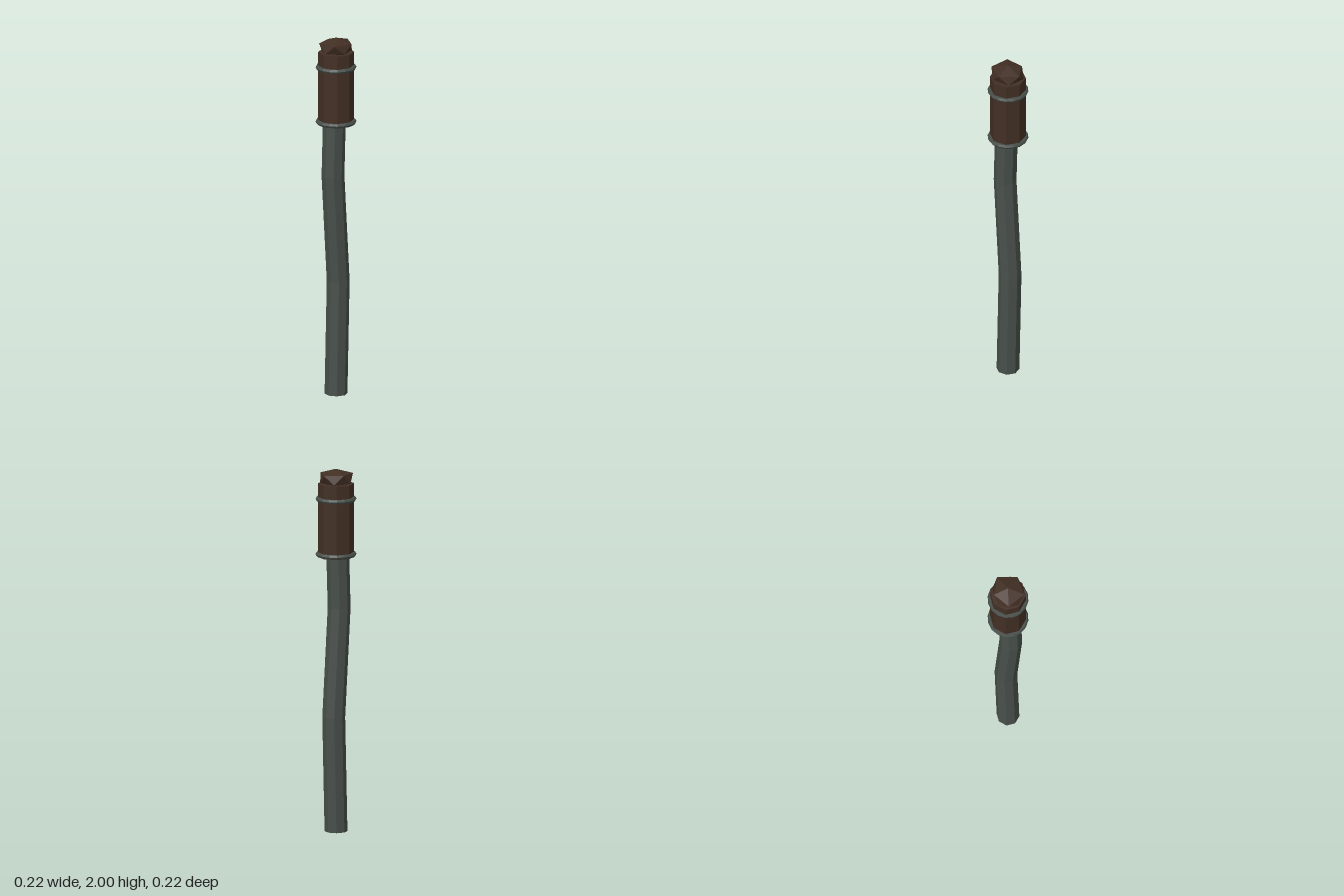
import * as THREE from 'three';

const flat = (name, color) => {
  const m = new THREE.MeshStandardMaterial({ color, flatShading: true });
  m.name = name;
  return m;
};

// Eight-sided shaft whose rows follow a crooked centre line
function shaftGeometry() {
  const path = [[-0.013, 1.56], [-0.025, 1.23], [0.018, 0.63], [0, 0]]; // top to bottom: x, y
  const g = new THREE.CylinderGeometry(0.062, 0.062, 3, 8, 3);
  const p = g.attributes.position;
  for (let i = 0; i < p.count; i++) {
    const [x, y] = path[Math.round(1.5 - p.getY(i))];
    p.setX(i, p.getX(i) + x);
    p.setY(i, y);
  }
  return g;
}

// Squat, slightly uneven twenty-faced lump
function knobGeometry() {
  const ring = (radii, y, turn) => radii.map((r, i) => {
    const a = (i + turn) * Math.PI * 2 / 5;
    return [r * Math.cos(a), y, r * Math.sin(a)];
  });
  const top = [0, 2, 0], bottom = [0, 1.9, 0];
  const upper = ring([0.096, 0.091, 0.093, 0.094, 0.081], 1.973, 0);
  const lower = ring([0.088, 0.088, 0.09, 0.086, 0.088], 1.925, 0.5);
  const corners = [];
  for (let i = 0; i < 5; i++) {
    const j = (i + 1) % 5;
    corners.push(top, upper[j], upper[i]);
    corners.push(upper[i], upper[j], lower[i]);
    corners.push(lower[i], upper[j], lower[j]);
    corners.push(bottom, lower[i], lower[j]);
  }
  const g = new THREE.BufferGeometry();
  g.setAttribute('position', new THREE.Float32BufferAttribute(corners.flat(), 3));
  g.computeVertexNormals();
  return g;
}

export function createModel() {
  const group = new THREE.Group();
  const iron = flat('dark iron', 0x484f4a);
  const wood = flat('dark wood', 0x422f24);
  const add = (name, geometry, material, y = 0) => {
    const mesh = new THREE.Mesh(geometry, material);
    mesh.name = name;
    mesh.position.y = y;
    group.add(mesh);
    return mesh;
  };

  add('shaft', shaftGeometry(), iron);
  add('head', new THREE.CylinderGeometry(0.098, 0.098, 0.405, 8), wood, 1.7175);
  add('knob', knobGeometry(), wood);

  // Bands around the head
  for (const [name, y] of [['lowerBand', 1.53], ['upperBand', 1.835]]) {
    add(name, new THREE.TorusGeometry(0.098, 0.013, 6, 16).rotateX(Math.PI / 2), iron, y);
  }
  return group;
}
